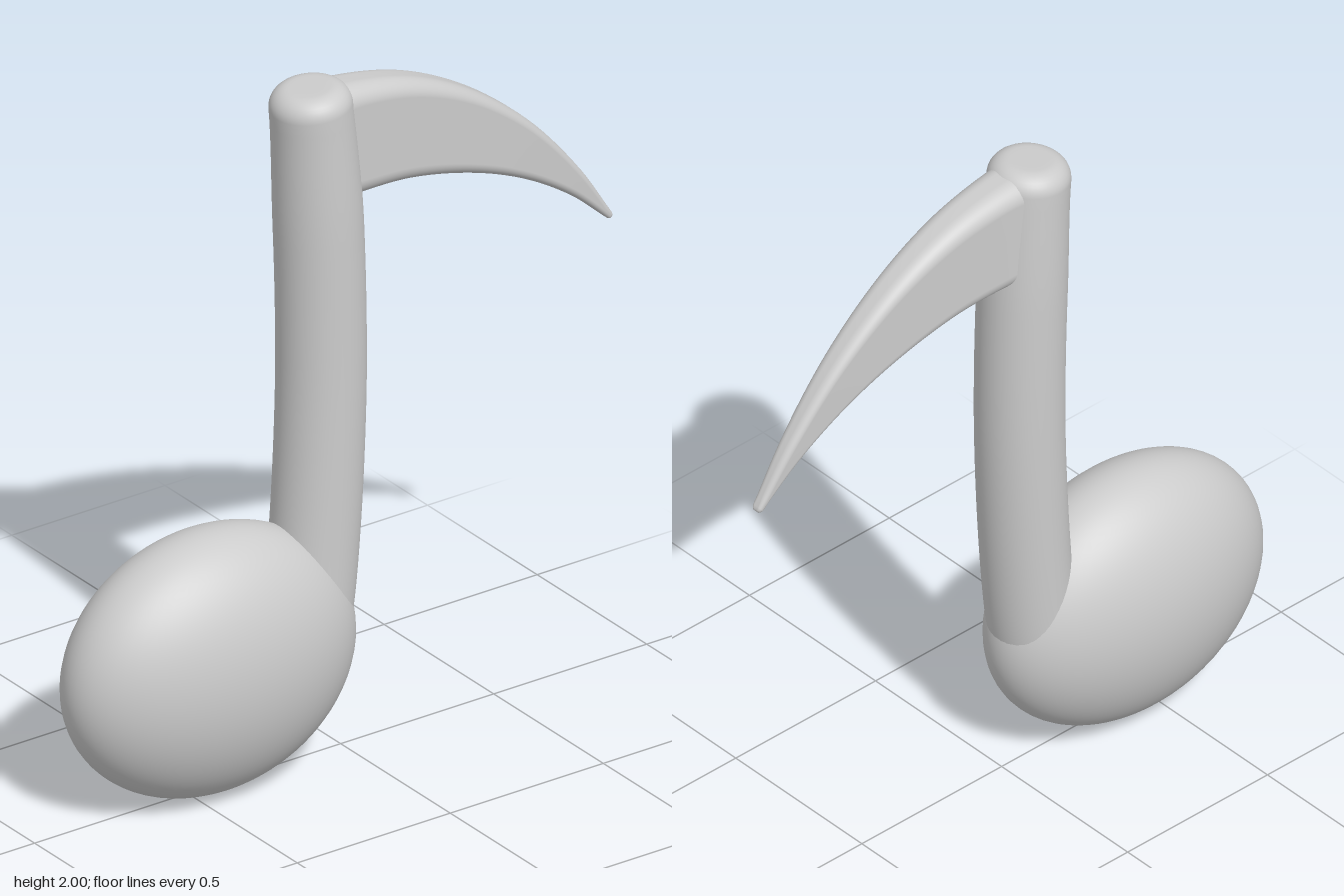
import * as THREE from 'three';

const material = new THREE.MeshStandardMaterial({ color: 0xcccccc, side: THREE.DoubleSide });

// Smooth skin through closed rings of points, with a fan closing each end
function loft(name, rings) {
  const n = rings[0].length, pts = [], index = [];
  rings.forEach((ring) => ring.forEach((p) => pts.push(p.x, p.y, p.z)));
  for (let i = 0; i < rings.length - 1; i++) {
    for (let j = 0; j < n; j++) {
      const a = i * n + j, b = i * n + (j + 1) % n;
      index.push(a, b, a + n, b, b + n, a + n);
    }
  }
  [0, rings.length - 1].forEach((r) => {
    const c = rings[r].reduce((s, p) => s.add(p), new THREE.Vector3()).divideScalar(n);
    const k = pts.length / 3;
    pts.push(c.x, c.y, c.z);
    for (let j = 0; j < n; j++) {
      const a = r * n + j, b = r * n + (j + 1) % n;
      if (r === 0) index.push(k, b, a);
      else index.push(k, a, b);
    }
  });
  const g = new THREE.BufferGeometry();
  g.setAttribute('position', new THREE.Float32BufferAttribute(pts, 3));
  g.setIndex(index);
  g.computeVertexNormals();
  const mesh = new THREE.Mesh(g, material);
  mesh.name = name;
  return mesh;
}

const curve = (list) => new THREE.CatmullRomCurve3(list.map(([x, y]) => new THREE.Vector3(x, y, 0)));

// Round, gently bowed stem with a softened top rim
function makeStem() {
  const path = curve([[-0.14, 0.3], [-0.108, 0.45], [-0.083, 0.7], [-0.066, 1.05],
    [-0.065, 1.3], [-0.074, 1.6], [-0.089, 1.85], [-0.103, 1.995]]);
  const length = path.getLength(), bevel = 0.055, rings = [];
  const ring = (t, r) => {
    const c = path.getPointAt(t), d = path.getTangentAt(t);
    const side = new THREE.Vector3(d.y, -d.x, 0);
    return Array.from({ length: 48 }, (_, j) => {
      const a = -j / 48 * Math.PI * 2;
      return c.clone().addScaledVector(side, r * Math.cos(a)).add(new THREE.Vector3(0, 0, r * Math.sin(a)));
    });
  };
  const radius = (t) => 0.122 - 0.009 * THREE.MathUtils.smoothstep(t, 0.75, 1);
  const end = 1 - bevel / length;
  for (let i = 0; i <= 40; i++) rings.push(ring(end * i / 40, radius(end * i / 40)));
  for (let i = 1; i <= 8; i++) {
    const a = i / 8 * Math.PI / 2;
    const t = Math.min(1, end + bevel * Math.sin(a) / length);
    rings.push(ring(t, radius(t) - bevel * (1 - Math.cos(a))));
  }
  for (const r of [0.04, 0.02]) rings.push(ring(1, r));
  return loft('stem', rings);
}

// Curved flag: rounded section spanning two edge curves, tapering to the tip
function makeFlag() {
  const top = curve([[-0.09, 1.985], [0, 1.985], [0.2, 1.945], [0.4, 1.85], [0.6, 1.695], [0.77, 1.5], [0.885, 1.325]]);
  const bottom = curve([[-0.06, 1.65], [0.04, 1.652], [0.2, 1.643], [0.4, 1.597], [0.58, 1.525], [0.74, 1.427], [0.872, 1.313]]);
  const rings = [];
  const ring = (t, scale) => {
    const a = top.getPoint(t), b = bottom.getPoint(t);
    const c = a.clone().add(b).multiplyScalar(0.5), up = a.clone().sub(b);
    const half = up.length() / 2 * scale;
    up.normalize();
    const depth = (0.086 - 0.07 * t) * scale, round = Math.min(depth * 0.75, half * 0.9);
    return Array.from({ length: 48 }, (_, j) => {
      const q = Math.floor(j / 12), th = (q + (j % 12) / 11) * Math.PI / 2;
      const sz = q === 0 || q === 3 ? 1 : -1, su = q < 2 ? 1 : -1;
      const z = sz * (depth - round) + round * Math.cos(th);
      const u = su * (half - round) + round * Math.sin(th);
      return c.clone().addScaledVector(up, u).add(new THREE.Vector3(0, 0, z));
    });
  };
  for (let i = 0; i <= 40; i++) rings.push(ring(0.99 * i / 40, 1));
  rings.push(ring(0.996, 0.85), ring(1, 0.55));
  return loft('flag', rings);
}

export function createModel() {
  const group = new THREE.Group();
  group.name = 'musicNote';

  // Flattened oval note head
  const head = new THREE.Mesh(new THREE.SphereGeometry(1, 64, 40), material);
  head.name = 'noteHead';
  head.scale.set(0.453, 0.382, 0.241);
  head.position.set(-0.434, 0.387, 0);

  group.add(head, makeStem(), makeFlag());
  return group;
}
